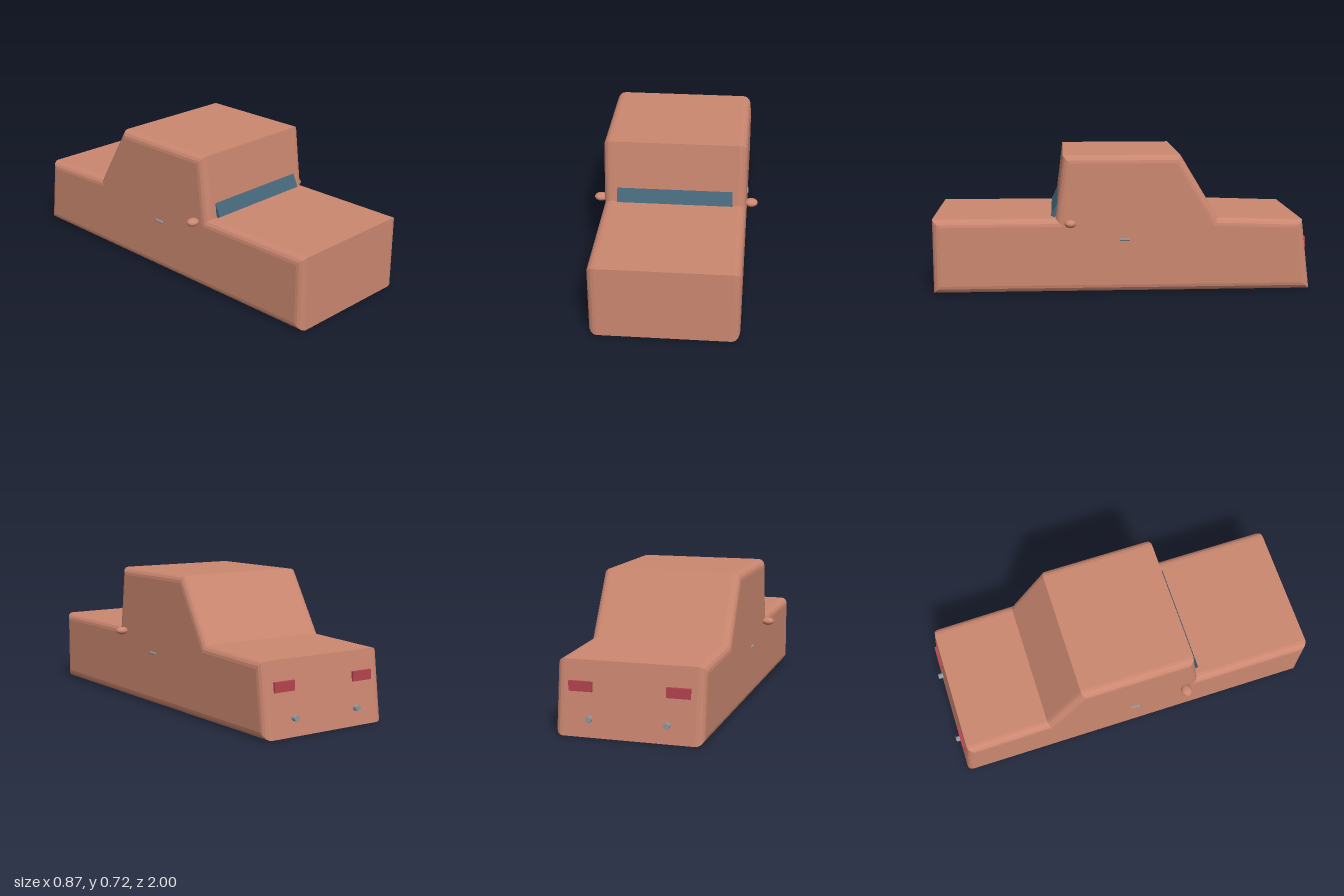
import * as THREE from 'three';

const material = (name, color) => {
  const m = new THREE.MeshStandardMaterial({ color });
  m.name = name;
  return m;
};

export function createModel() {
  const group = new THREE.Group();
  group.name = 'car';
  const paint = material('terracotta paint', 0xcb8770);
  const glass = material('blue glass', 0x456679);
  const red = material('tail light red', 0xb5444f);
  const metal = material('grey metal', 0x8f999e);

  const add = (name, geometry, mat, x, y, z) => {
    const mesh = new THREE.Mesh(geometry, mat);
    mesh.name = name;
    mesh.position.set(x, y, z);
    group.add(mesh);
    return mesh;
  };

  // Body: side profile (z, y) extruded across the width with rounded flanks
  const profile = [
    [-0.985, 0], [1, 0], [1, 0.39], [0.36, 0.39], [0.32, 0.72],
    [-0.29, 0.72], [-0.49, 0.388], [-0.94, 0.372],
  ].map(([z, y]) => new THREE.Vector2(z, y));
  const bevel = 0.04, width = 0.746;
  const bodyGeometry = new THREE.ExtrudeGeometry(new THREE.Shape(profile), {
    depth: width - 2 * bevel,
    bevelThickness: bevel, bevelSize: bevel, bevelOffset: -bevel, bevelSegments: 4,
  });
  bodyGeometry.translate(0, 0, bevel - width / 2);
  bodyGeometry.rotateY(-Math.PI / 2);
  add('body', bodyGeometry, paint, 0, 0, 0);

  // Leaning glass strip at the foot of the cabin
  const strip = add('windshield', new THREE.BoxGeometry(0.604, 0.076, 0.02), glass, 0, 0.427, 0.358);
  strip.rotation.x = -0.44;

  // Paired details
  for (const [side, s] of [['left', 1], ['right', -1]]) {
    const mirror = add(side + 'Mirror', new THREE.SphereGeometry(1, 16, 12), paint, s * 0.399, 0.37, 0.284);
    mirror.scale.set(0.035, 0.021, 0.03);

    const handle = add(side + 'DoorHandle', new THREE.CapsuleGeometry(0.007, 0.044, 4, 8), metal, s * 0.374, 0.28, 0);
    handle.rotation.x = Math.PI / 2;

    add(side + 'TailLight', new THREE.BoxGeometry(0.12, 0.05, 0.02), red, s * 0.245, 0.245, -0.957);

    const exhaust = add(side + 'Exhaust', new THREE.CylinderGeometry(0.015, 0.015, 0.06, 12), metal, s * 0.195, 0.09, -0.97);
    exhaust.rotation.x = Math.PI / 2;
  }
  return group;
}
